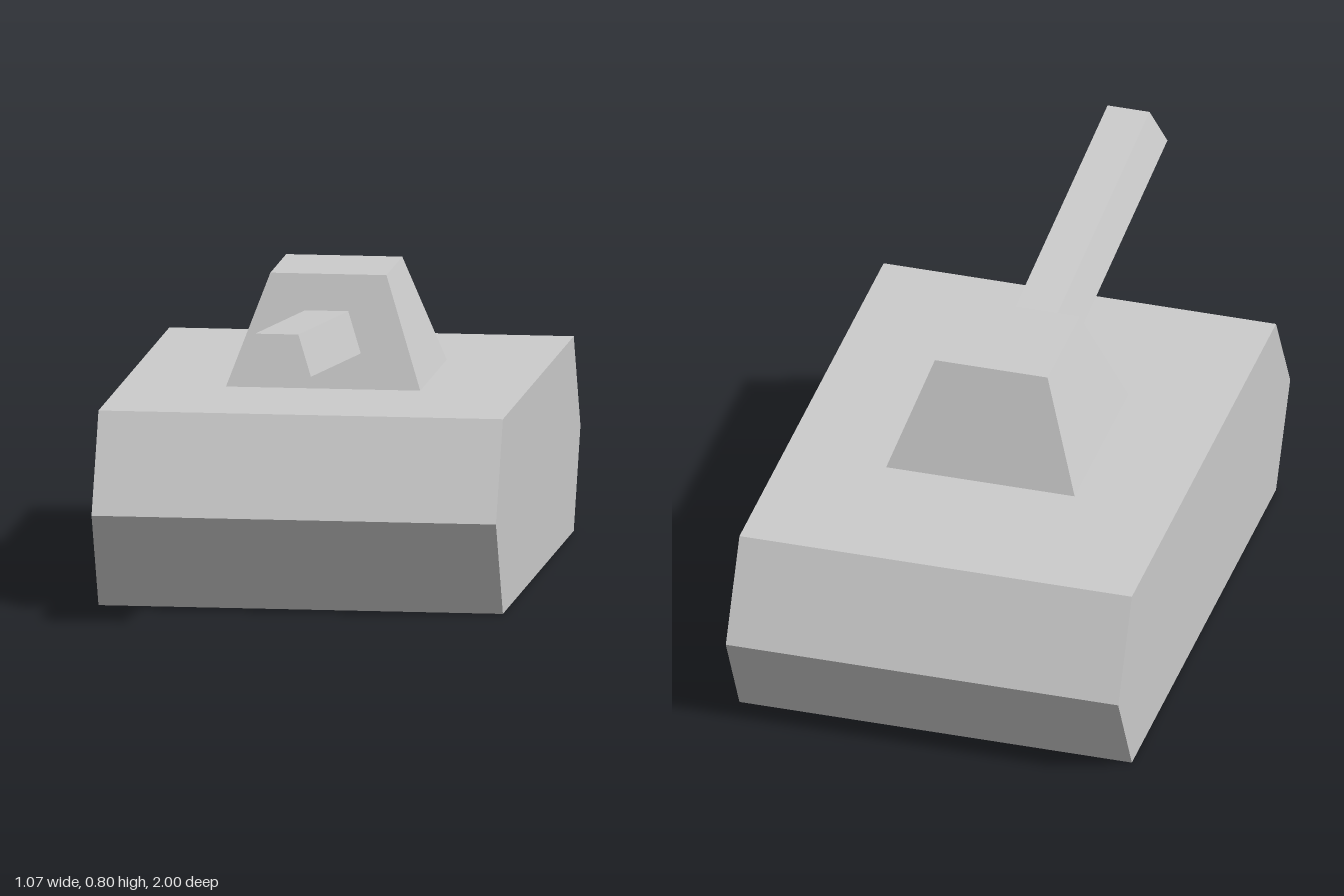
import * as THREE from 'three';

const material = new THREE.MeshStandardMaterial({ color: 0xcccccc, flatShading: true });

function addPart(group, name, geometry) {
  const mesh = new THREE.Mesh(geometry, material);
  mesh.name = name;
  group.add(mesh);
}

// Unit box whose corners are moved by a rule taking the signs of x, y and z
function shapedBox(rule) {
  const geometry = new THREE.BoxGeometry(2, 2, 2).toNonIndexed();
  const p = geometry.attributes.position;
  for (let i = 0; i < p.count; i++) p.setXYZ(i, ...rule(p.getX(i), p.getY(i), p.getZ(i)));
  geometry.computeVertexNormals();
  return geometry;
}

export function createModel() {
  const model = new THREE.Group();
  model.name = 'tank';

  // Hull: six-sided side profile (z, y) extruded across the width
  const width = 1.066;
  const profile = [[0.5, 0], [0.635, 0.258], [0.5, 0.515], [-0.87, 0.515], [-1, 0.258], [-0.87, 0]];
  const hull = new THREE.ExtrudeGeometry(
    new THREE.Shape(profile.map(([z, y]) => new THREE.Vector2(z, y))),
    { depth: width, bevelEnabled: false }
  );
  hull.translate(0, 0, -width / 2).rotateY(-Math.PI / 2);
  addPart(model, 'hull', hull);

  // Turret: square frustum standing on the hull
  addPart(model, 'turret', shapedBox((x, y, z) => {
    const half = y > 0 ? 0.153 : 0.256;
    return [x * half, y > 0 ? 0.802 : 0.515, -0.189 + z * half];
  }));

  // Gun barrel: tapered section drawn out of the sloping turret front, rising forwards
  addPart(model, 'gunBarrel', shapedBox((x, y, z) => {
    const top = y > 0;
    const front = z > 0;
    return [
      x * (top ? 0.057 : 0.095),
      (front ? 0.698 : 0.605) + (top ? 0.105 : 0),
      (front ? 1 : 0.035) - (top ? 0.037 : 0),
    ];
  }));

  return model;
}
